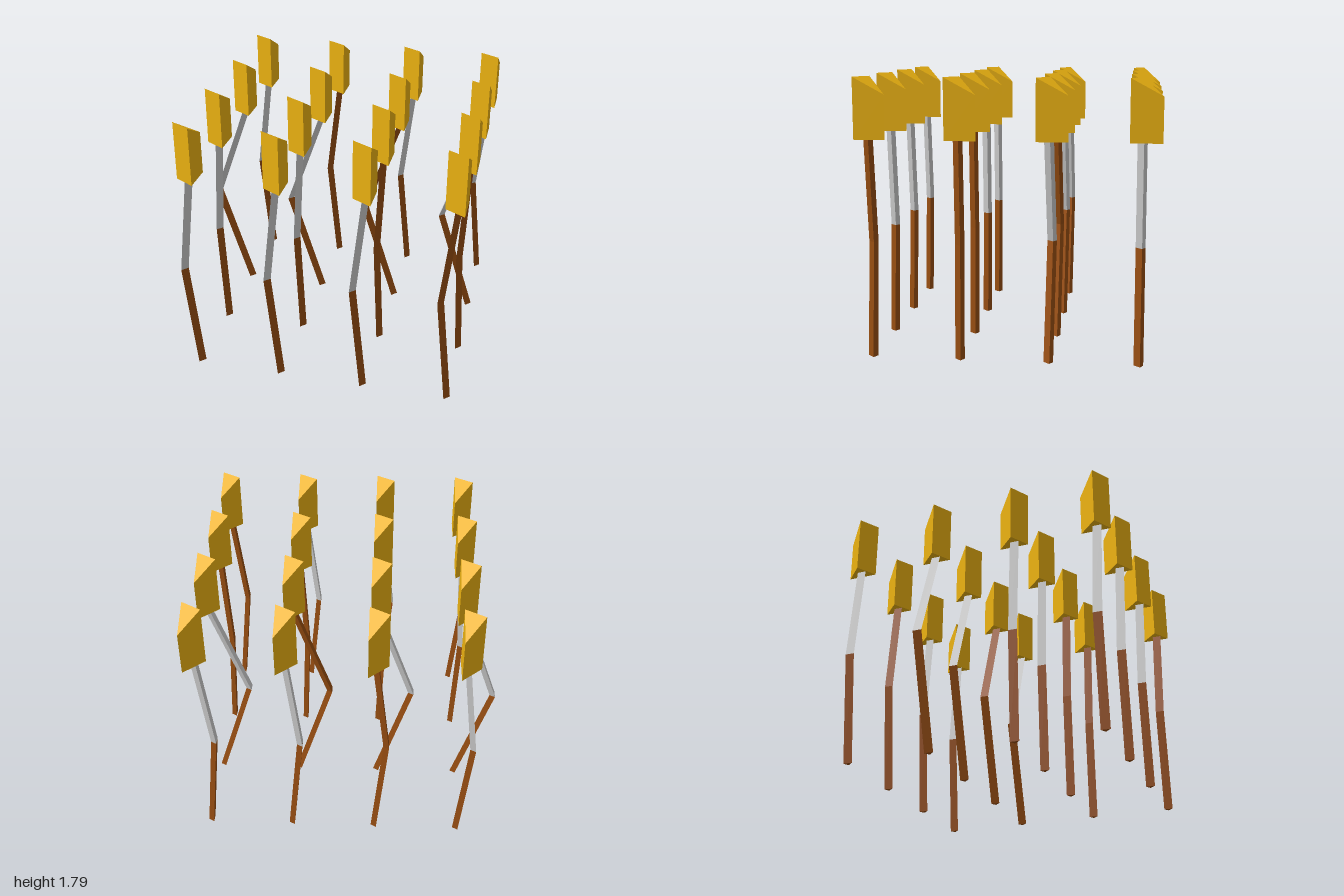
import * as THREE from 'three';

const material = (color) => new THREE.MeshStandardMaterial({ color, flatShading: true });

// Three-sided prism between two rings of [x, y, z] corners, counter-clockwise from above
function prism(bottom, top) {
  const p = [];
  for (let i = 0; i < 3; i++) {
    const j = (i + 1) % 3;
    p.push(...bottom[i], ...bottom[j], ...top[j], ...bottom[i], ...top[j], ...top[i]);
  }
  p.push(...top[0], ...top[1], ...top[2], ...bottom[0], ...bottom[2], ...bottom[1]);
  const g = new THREE.BufferGeometry();
  g.setAttribute('position', new THREE.Float32BufferAttribute(p, 3));
  g.computeVertexNormals();
  return g;
}

// Plan outlines, measured from the front corner of the leg
const HEAD = [[-0.064, -0.031], [0.063, 0.045], [0.063, -0.153]];
const LEG = [[0.037, -0.04], [0, -0.061], [0, 0]];
const headTops = [1.787, 1.787, 1.68];
const KNEE = 0.736, NECK = 1.4;

const legRing = (y, dx = 0) => LEG.map(([x, z]) => [x + dx, y, z]);

export function createModel() {
  const model = new THREE.Group();
  const yellow = material(0xecb211);
  const brown = material(0x964d11);
  const grey = material(0xcccccc);

  // Head with a slanted top
  const headGeo = prism(
    HEAD.map(([x, z]) => [x, NECK, z]),
    HEAD.map(([x, z], i) => [x, headTops[i], z])
  );

  // Rows from front to back: knee offset and which columns have a brown upper leg
  const rows = [
    { bend: -0.076, brownColumns: [3] },
    { bend: -0.033, brownColumns: [2, 3] },
    { bend: -0.236, brownColumns: [2] },
    { bend: -0.076, brownColumns: [1] },
  ];

  rows.forEach(({ bend, brownColumns }, r) => {
    const lowerGeo = prism(legRing(0), legRing(KNEE, bend));
    const upperGeo = prism(legRing(KNEE, bend), legRing(NECK));
    for (let c = 0; c < 4; c++) {
      const post = new THREE.Group();
      post.name = `post_row${r + 1}_column${c + 1}`;
      const add = (name, geo, mat) => {
        const mesh = new THREE.Mesh(geo, mat);
        mesh.name = name;
        post.add(mesh);
      };
      add('lowerLeg', lowerGeo, brown);
      add('upperLeg', upperGeo, brownColumns.includes(c) ? brown : grey);
      add('head', headGeo, yellow);
      post.position.set(-0.764 + 0.567 * c, 0, 0.904 - 0.565 * r);
      model.add(post);
    }
  });
  return model;
}
